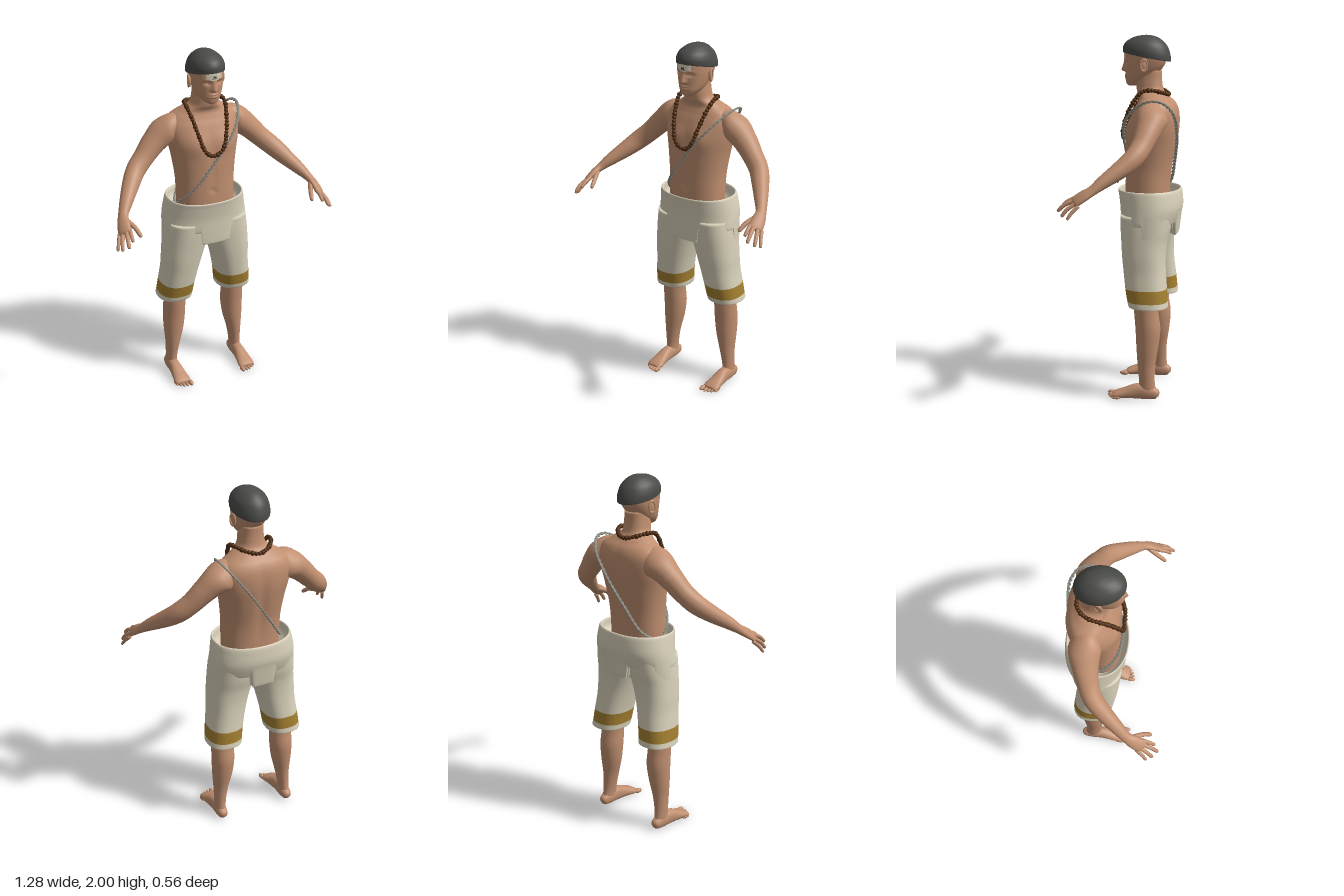
import * as THREE from 'three';
import { mergeGeometries } from 'three/addons/utils/BufferGeometryUtils.js';

const mat = (name, color, side = THREE.FrontSide) => {
  const m = new THREE.MeshStandardMaterial({ color, side });
  m.name = name;
  return m;
};
const V = (x, y, z) => new THREE.Vector3(x, y, z);
const bell = (x, c, w) => Math.exp(-(((x - c) / w) ** 2));
const clamp = THREE.MathUtils.clamp;

// Smooth skin over cross-sections [x, y, z, radiusA, radiusB].
// Without ref the sections stay level; with ref, radiusA lies along ref and sections follow the path.
function loft(rows, { ref, segs = 32, sub = 5, pow = 1, shape, paint } = {}) {
  const path = new THREE.CatmullRomCurve3(rows.map(r => V(r[0], r[1], r[2])), false, 'catmullrom');
  const size = new THREE.CatmullRomCurve3(rows.map(r => V(r[3], r[4], 0)), false, 'catmullrom');
  const n = (rows.length - 1) * sub, pos = [], index = [];
  const round = c => Math.sign(c) * Math.abs(c) ** pow;
  for (let i = 0; i <= n; i++) {
    const p = path.getPoint(i / n), s = size.getPoint(i / n);
    const t = ref ? path.getTangent(i / n) : V(0, 1, 0);
    const u = (ref ? ref.clone() : V(1, 0, 0)).addScaledVector(t, ref ? -ref.dot(t) : 0).normalize();
    const v = t.clone().cross(u);
    for (let j = 0; j < segs; j++) {
      const a = (j / segs) * Math.PI * 2;
      const q = p.clone().addScaledVector(u, round(Math.cos(a)) * Math.max(s.x, 0.0005))
        .addScaledVector(v, round(Math.sin(a)) * Math.max(s.y, 0.0005));
      if (shape) shape(q);
      pos.push(q.x, q.y, q.z);
    }
  }
  // end caps
  const ends = [rows[0], rows[rows.length - 1]];
  ends.forEach(r => pos.push(r[0], r[1], r[2]));
  const c0 = (n + 1) * segs, geo = new THREE.BufferGeometry();
  for (let j = 0; j < segs; j++) index.push((j + 1) % segs, j, c0);
  let start = 0;
  for (let i = 0; i < n; i++) {
    for (let j = 0; j < segs; j++) {
      const k = (j + 1) % segs, a = i * segs + j, b = i * segs + k;
      index.push(a, b, a + segs, b, b + segs, a + segs);
    }
    if (i === n - 1) for (let j = 0; j < segs; j++) index.push(n * segs + j, n * segs + (j + 1) % segs, c0 + 1);
    if (paint && (i + 1) % sub === 0) {
      geo.addGroup(start, index.length - start, paint[Math.floor(i / sub)] || 0);
      start = index.length;
    }
  }
  geo.setAttribute('position', new THREE.Float32BufferAttribute(pos, 3));
  geo.setIndex(index);
  geo.computeVertexNormals();
  return geo;
}
// Upright part from rows [y, centreX, halfWidth, frontZ, backZ]
const column = (rows, opts, s = 1) =>
  loft(rows.map(([y, x, w, f, b]) => [x * s, y, (f + b) / 2, w, (f - b) / 2]), opts);

export function createModel() {
  const skin = mat('skin', 0xc08f70);
  const cloth = mat('creamCloth', 0xd8d0b9, THREE.DoubleSide);
  const gold = mat('goldBorder', 0xa37f30, THREE.DoubleSide);
  const dark = mat('capGrey', 0x4a4c48);
  const wood = mat('brownBeads', 0x4d2a0c);
  const cord = mat('greyCord', 0x92928a);
  const paste = mat('foreheadPaste', 0xdcd0ba, THREE.DoubleSide);

  const model = new THREE.Group();
  const add = (name, geo, m, parent = model) => {
    const mesh = new THREE.Mesh(geo, m);
    mesh.name = name;
    parent.add(mesh);
    return mesh;
  };
  const ball = (name, m, p, s, parent) => {
    const b = add(name, new THREE.SphereGeometry(1, 20, 14), m, parent);
    b.position.set(...p);
    b.scale.set(...s);
    return b;
  };

  // Torso and neck, with chest muscles and a spine groove
  add('torso', column([
    [1.03, 0, 0.16, 0.03, -0.21], [1.17, 0, 0.165, 0.03, -0.212], [1.28, 0, 0.168, 0.028, -0.222],
    [1.4, 0, 0.183, 0.026, -0.245], [1.5, 0, 0.203, 0.014, -0.26], [1.58, 0, 0.208, -0.012, -0.258],
    [1.63, 0, 0.182, -0.035, -0.24], [1.665, 0, 0.128, -0.045, -0.208], [1.7, 0, 0.078, -0.03, -0.178],
    [1.75, 0, 0.066, -0.025, -0.167], [1.81, 0, 0.062, -0.03, -0.165],
  ], {
    segs: 72, sub: 7, pow: 0.88, shape: v => {
      if (v.z > -0.1) v.z += 0.013 * bell(Math.abs(v.x), 0.085, 0.06) * bell(v.y, 1.49, 0.06)
        - 0.006 * bell(v.x, 0, 0.015) * bell(v.y, 1.35, 0.14) - 0.008 * bell(v.x, 0, 0.012) * bell(v.y, 1.22, 0.012);
      else v.z += 0.01 * bell(v.x, 0, 0.025) * bell(v.y, 1.4, 0.2);
    },
  }), skin);

  // Head with nose, eye sockets, lips
  const head = new THREE.Group();
  head.name = 'head';
  model.add(head);
  add('face', column([
    [1.724, 0, 0.01, 0.015, -0.02], [1.735, 0, 0.034, 0.028, -0.05], [1.76, 0, 0.058, 0.034, -0.1],
    [1.79, 0, 0.073, 0.034, -0.14], [1.83, 0, 0.084, 0.036, -0.174], [1.87, 0, 0.09, 0.04, -0.192],
    [1.91, 0, 0.09, 0.036, -0.193], [1.95, 0, 0.072, 0.008, -0.168], [1.98, 0, 0.03, -0.03, -0.12],
  ], {
    segs: 96, sub: 10, pow: 0.92, shape: v => {
      if (v.z < -0.03) return;
      const ramp = clamp((1.872 - v.y) / 0.06, 0, 1) * THREE.MathUtils.smoothstep(v.y, 1.796, 1.81);
      const ax = Math.abs(v.x);
      v.z += 0.024 * ramp * bell(v.x, 0, 0.008 + 0.008 * ramp)
        - 0.011 * bell(ax, 0.034, 0.018) * bell(v.y, 1.85, 0.011)
        + 0.006 * bell(v.x, 0, 0.022) * (bell(v.y, 1.784, 0.005) + bell(v.y, 1.771, 0.006))
        + 0.004 * bell(ax, 0.034, 0.02) * bell(v.y, 1.868, 0.007);
    },
  }), skin, head);
  for (const s of [1, -1]) {
    ball('eyelid', skin, [s * 0.034, 1.849, 0.013], [0.013, 0.007, 0.01], head);
    ball('ear', skin, [s * 0.09, 1.835, -0.08], [0.008, 0.032, 0.019], head).rotation.y = s * 0.3;
    const rim = add('earRim', new THREE.TorusGeometry(0.019, 0.005, 8, 24), skin, head);
    rim.position.set(s * 0.096, 1.838, -0.083);
    rim.rotation.y = Math.PI / 2 + s * 0.3;
    rim.scale.set(1, 1.6, 1);
  }

  // Painted forehead band with a small mark
  const patch = (name, w, h, y, lift, m) => {
    const g = new THREE.PlaneGeometry(w, h, 16, 2), p = g.attributes.position;
    for (let i = 0; i < p.count; i++)
      p.setZ(i, -0.077 + 0.117 * (1 - (p.getX(i) / 0.091) ** 2) ** 0.47 + lift);
    g.translate(0, y, 0);
    g.computeVertexNormals();
    add(name, g, m, head);
  };
  patch('foreheadBand', 0.09, 0.04, 1.886, 0.003, paste);
  patch('foreheadMark', 0.018, 0.012, 1.884, 0.005, dark);
  patch('foreheadLine', 0.034, 0.004, 1.875, 0.005, cord);

  // Close cap, lower at the back
  add('cap', column([
    [1.9, 0, 0.084, 0.03, -0.19], [1.882, 0, 0.097, 0.046, -0.211], [1.892, 0, 0.1, 0.05, -0.215],
    [1.92, 0, 0.098, 0.047, -0.21], [1.955, 0, 0.084, 0.03, -0.191], [1.985, 0, 0.053, -0.008, -0.15],
    [1.997, 0, 0.024, -0.05, -0.11], [2.0, 0, 0.001, -0.079, -0.081],
  ], { segs: 56, sub: 6, shape: v => { v.y += 0.19 * (v.z + 0.083) * clamp((2 - v.y) / 0.1, 0, 1); } }), dark);

  // Arms, hands and fingers
  for (const s of [1, -1]) {
    const side = s > 0 ? 'left' : 'right';
    const flip = rows => rows.map(([x, ...r]) => [x * s, ...r]);
    const across = V(0.77 * s, -0.54, -0.38);
    add(side + 'Arm', loft(flip([
      [0.11, 1.58, -0.14, 0.07, 0.055], [0.2, 1.56, -0.145, 0.088, 0.074], [0.28, 1.5, -0.135, 0.07, 0.064],
      [0.35, 1.43, -0.115, 0.057, 0.056], [0.41, 1.375, -0.085, 0.052, 0.054], [0.46, 1.325, -0.03, 0.047, 0.047],
      [0.52, 1.265, 0.05, 0.036, 0.034], [0.555, 1.225, 0.1, 0.029, 0.023], [0.57, 1.2, 0.14, 0.036, 0.02],
      [0.58, 1.172, 0.182, 0.038, 0.016], [0.585, 1.162, 0.197, 0.028, 0.009],
    ]), { ref: across, segs: 36, sub: 6 }), skin);
    // knuckle, middle joint, tip, thickness
    [
      [[0.555, 1.187, 0.185], [0.56, 1.17, 0.225], [0.562, 1.142, 0.258], 0.0105],
      [[0.573, 1.176, 0.187], [0.584, 1.153, 0.238], [0.591, 1.118, 0.277], 0.011],
      [[0.589, 1.163, 0.178], [0.607, 1.133, 0.22], [0.618, 1.095, 0.25], 0.0105],
      [[0.602, 1.15, 0.163], [0.62, 1.117, 0.195], [0.633, 1.083, 0.217], 0.0095],
      [[0.552, 1.208, 0.128], [0.523, 1.183, 0.186], [0.507, 1.147, 0.234], 0.0125],
    ].forEach(([a, b, c, r], i) => {
      const mid = a.map((v, k) => c[k] * 0.85 + b[k] * 0.15);
      add(side + (i < 4 ? 'Finger' : 'Thumb'), loft(flip([
        [...a, r * 1.15, r * 1.1], [...b, r, r], [...mid, r * 0.85, r * 0.8], [...c, 0.002, 0.002],
      ]), { ref: across, segs: 12, sub: 4 }), skin);
    });

    // Lower legs, feet and toes
    add(side + 'Leg', column([
      [0.025, 0.21, 0.03, -0.075, -0.182], [0.1, 0.208, 0.032, -0.08, -0.168], [0.2, 0.2, 0.042, -0.07, -0.17],
      [0.3, 0.191, 0.058, -0.062, -0.185], [0.4, 0.186, 0.065, -0.056, -0.194], [0.5, 0.185, 0.064, -0.048, -0.182],
      [0.64, 0.18, 0.07, -0.04, -0.18],
    ], { segs: 32 }, s), skin);
    add(side + 'Foot', loft(flip([
      [0.21, 0.03, -0.192, 0.008, 0.008], [0.21, 0.034, -0.178, 0.025, 0.028], [0.21, 0.042, -0.13, 0.033, 0.04],
      [0.21, 0.045, -0.07, 0.034, 0.043], [0.21, 0.031, 0, 0.042, 0.029], [0.209, 0.022, 0.045, 0.048, 0.02],
      [0.209, 0.017, 0.068, 0.04, 0.012],
    ]), { ref: V(1, 0, 0), segs: 32, pow: 0.9 }), skin);
    for (let i = 0; i < 5; i++) {
      const x = [0.17, 0.194, 0.214, 0.232, 0.249][i], end = [0.105, 0.102, 0.095, 0.084, 0.07][i];
      const r = i ? 0.0098 - i * 0.0003 : 0.0135;
      ball(side + 'Toe', skin, [s * x, r + 0.002, end - 0.026], [r, r, 0.026]);
    }

    // Trouser leg with lining, hem and gold border
    add(side + 'TrouserLeg', column([
      [0.62, 0.178, 0.085, -0.015, -0.21], [0.54, 0.184, 0.092, -0.028, -0.225], [0.53, 0.185, 0.1, -0.02, -0.235],
      [0.56, 0.181, 0.1, -0.011, -0.232], [0.63, 0.172, 0.1, 0.002, -0.226], [0.72, 0.157, 0.104, 0.014, -0.217],
      [0.8, 0.145, 0.113, 0.024, -0.214], [0.88, 0.13, 0.122, 0.031, -0.22], [0.95, 0.118, 0.128, 0.037, -0.235],
      [1.03, 0.115, 0.12, 0.04, -0.245],
    ], { segs: 48, pow: 0.84, paint: [0, 0, 0, 1] }, s), [cloth, gold]);
  }

  // Seat joining the trouser legs
  add('trouserSeat', column([
    [0.86, 0, 0.02, -0.05, -0.14], [0.9, 0, 0.08, 0.015, -0.2], [0.95, 0, 0.18, 0.036, -0.235],
    [1.03, 0, 0.23, 0.042, -0.25],
  ], { segs: 48, pow: 0.85 }), cloth);

  // Folded waist wrap with hanging flaps at front, back and hips
  const flap = v => {
    if (v.z > -0.05 && v.x > -0.08 && v.x < 0.1) return 0.075;
    if (v.z < -0.2 && Math.abs(v.x) < 0.07) return 0.07;
    if (Math.abs(v.x) > 0.19 && v.z > -0.19 && v.z < -0.1) return 0.075;
    return 0;
  };
  add('waistWrap', column([
    [0.985, 0, 0.236, 0.04, -0.245], [0.978, 0, 0.243, 0.048, -0.255], [0.992, 0, 0.249, 0.053, -0.264],
    [1.06, 0, 0.241, 0.056, -0.284], [1.13, 0, 0.229, 0.065, -0.281], [1.16, 0, 0.221, 0.07, -0.275],
    [1.157, 0, 0.211, 0.06, -0.264], [1.11, 0, 0.205, 0.05, -0.25], [1.06, 0, 0.16, 0.025, -0.2],
  ], { segs: 144, pow: 0.9, shape: v => { v.y -= flap(v) * clamp((1.03 - v.y) / 0.04, 0, 1); } }), cloth);

  // Long bead necklace
  const half = [[0.05, 1.465, 0.042], [0.08, 1.55, 0.02], [0.1, 1.64, -0.025], [0.112, 1.7, -0.08],
    [0.102, 1.705, -0.13], [0.06, 1.69, -0.182]];
  const loop = new THREE.CatmullRomCurve3([[0, 1.435, 0.042], ...half, [0, 1.678, -0.203],
    ...half.map(([x, y, z]) => [-x, y, z]).reverse()].map(p => V(...p)), true);
  const beads = loop.getSpacedPoints(54).slice(1).map((p, i) =>
    new THREE.SphereGeometry(i % 3 ? 0.0115 : 0.0135, 10, 8).translate(p.x, p.y, p.z));
  add('beadNecklace', mergeGeometries(beads), wood);
  add('necklaceString', new THREE.TubeGeometry(loop, 90, 0.005, 6, true), wood);

  // Twisted cord from the left shoulder to the right hip
  const sash = new THREE.CatmullRomCurve3([
    [0.21, 1.652, -0.13], [0.172, 1.6, -0.035], [0.1, 1.51, 0.026], [0, 1.385, 0.036], [-0.1, 1.255, 0.02],
    [-0.158, 1.175, -0.035], [-0.176, 1.13, -0.1], [-0.13, 1.17, -0.188], [-0.03, 1.32, -0.236],
    [0.08, 1.48, -0.262], [0.16, 1.59, -0.25], [0.203, 1.645, -0.2],
  ].map(p => V(...p)), true);
  for (const phase of [0, Math.PI]) {
    const pts = sash.getSpacedPoints(240).slice(0, 240).map((p, i) => {
      const a = phase + (i / 240) * Math.PI * 2 * 30;
      return p.add(V(Math.cos(a) * 0.004, Math.cos(a) * 0.003, Math.sin(a) * 0.005));
    });
    add('shoulderCord', new THREE.TubeGeometry(new THREE.CatmullRomCurve3(pts, true), 360, 0.005, 6, true), cord);
  }
  return model;
}
